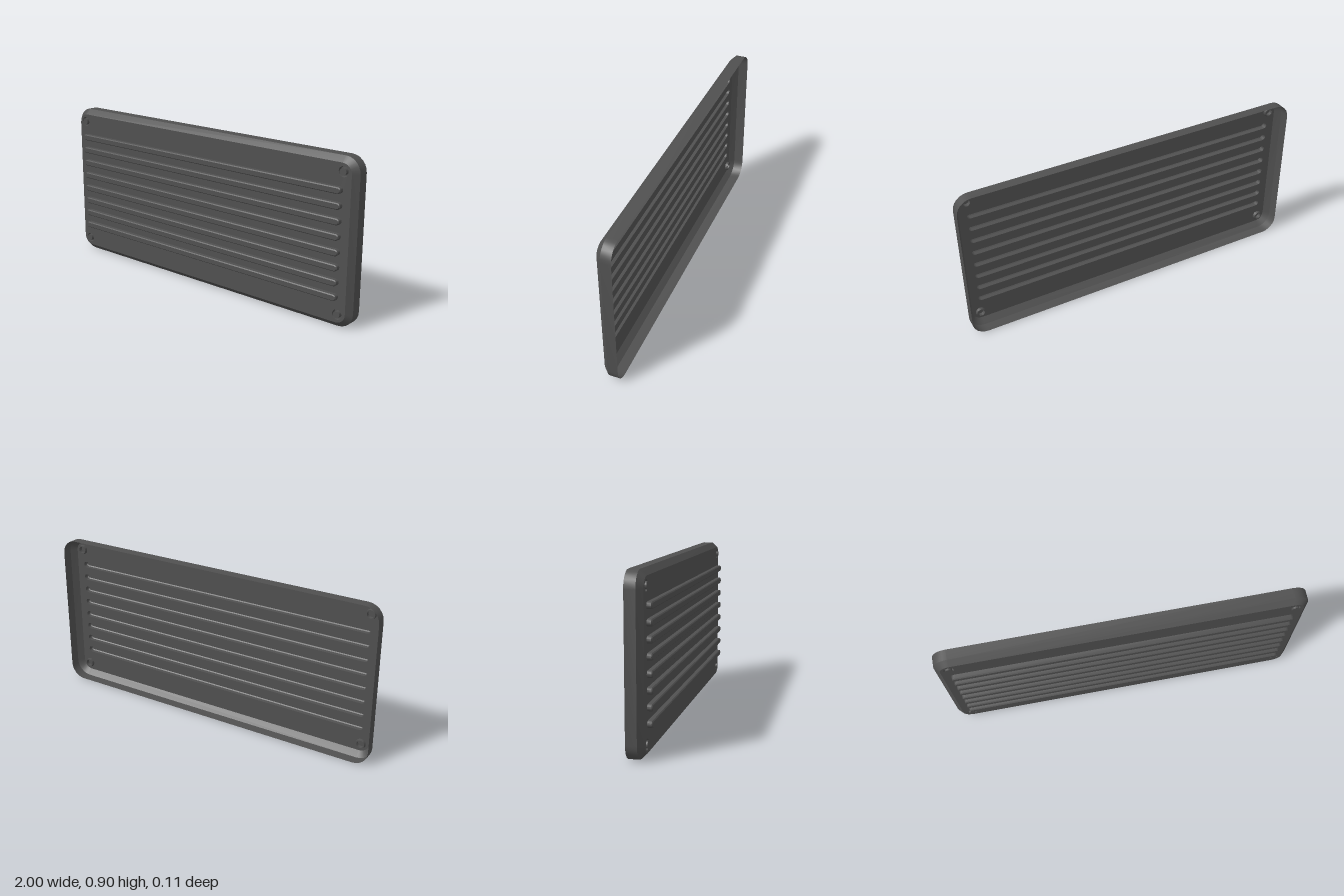
import * as THREE from 'three';
import { toCreasedNormals } from 'three/addons/utils/BufferGeometryUtils.js';

const material = new THREE.MeshStandardMaterial({ color: 0x505050, side: THREE.DoubleSide });

// Counter-clockwise rounded rectangle; becomes a slot or a circle when r reaches half its size
function outline(cx, cy, w, h, r, seg) {
  const pts = [];
  for (let c = 0; c < 4; c++) {
    const sx = c === 0 || c === 3 ? 1 : -1, sy = c < 2 ? 1 : -1;
    for (let i = 0; i <= seg; i++) {
      const a = (c + i / seg) * Math.PI / 2;
      const p = new THREE.Vector2(
        cx + sx * (w / 2 - r) + r * Math.cos(a),
        cy + sy * (h / 2 - r) + r * Math.sin(a));
      if (!pts.length || p.distanceTo(pts[pts.length - 1]) > 1e-5) pts.push(p);
    }
  }
  if (pts[0].distanceTo(pts[pts.length - 1]) < 1e-5) pts.pop();
  return pts;
}

// Wall through successive outlines, each { pts, z }
function wall(rings) {
  const pos = [];
  const put = (p, z) => pos.push(p.x, p.y, z);
  for (let k = 0; k < rings.length - 1; k++) {
    const a = rings[k], b = rings[k + 1], n = a.pts.length;
    for (let i = 0; i < n; i++) {
      const j = (i + 1) % n;
      put(a.pts[i], a.z); put(a.pts[j], a.z); put(b.pts[j], b.z);
      put(a.pts[i], a.z); put(b.pts[j], b.z); put(b.pts[i], b.z);
    }
  }
  const g = new THREE.BufferGeometry();
  g.setAttribute('position', new THREE.Float32BufferAttribute(pos, 3));
  return toCreasedNormals(g, 0.6);
}

// Flat face at depth z with optional holes
function face(pts, z, holes = []) {
  const shape = new THREE.Shape(pts);
  shape.holes = holes.map(h => new THREE.Path(h));
  return new THREE.ShapeGeometry(shape).translate(0, 0, z);
}

function part(name, ...geometries) {
  const group = new THREE.Group();
  group.name = name;
  for (const g of geometries) {
    const mesh = new THREE.Mesh(g, material);
    mesh.name = name;
    group.add(mesh);
  }
  return group;
}

export function createModel() {
  const model = new THREE.Group();
  model.name = 'ribbedPanel';
  const mid = 0.45, back = -0.057, plateZ = 0.03, ribZ = 0.057;
  const holes = [];

  // Raised hollow ribs, open at the back
  for (const y of [0.17, 0.25, 0.33, 0.41, 0.492, 0.572, 0.652, 0.732]) {
    const base = outline(0, y, 1.85, 0.035, 0.0175, 4);
    const top = outline(0, y, 1.84, 0.025, 0.0125, 4);
    holes.push(base);
    model.add(part('rib',
      wall([{ pts: base, z: plateZ }, { pts: base, z: ribZ - 0.005 }, { pts: top, z: ribZ }]),
      face(top, ribZ)));
  }

  // Corner screws, each standing in a round recess
  for (const x of [-0.923, 0.923]) for (const y of [0.075, 0.826]) {
    const circle = r => outline(x, y, 2 * r, 2 * r, r, 5);
    holes.push(circle(0.028));
    model.add(part('cornerScrew',
      wall([
        { pts: circle(0.028), z: plateZ },
        { pts: circle(0.026), z: 0.014 },
        { pts: circle(0.019), z: 0.014 },
        { pts: circle(0.019), z: 0.036 },
      ]),
      face(circle(0.019), 0.036)));
  }

  // Open-backed tray: side wall, bevel and front plate
  const outer = outline(0, mid, 2, 0.9, 0.085, 6);
  const inner = outline(0, mid, 1.94, 0.84, 0.055, 6);
  model.add(part('rim', wall([
    { pts: outer, z: back }, { pts: outer, z: 0 }, { pts: inner, z: plateZ },
  ])));
  model.add(part('frontPlate', face(inner, plateZ, holes)));
  return model;
}
